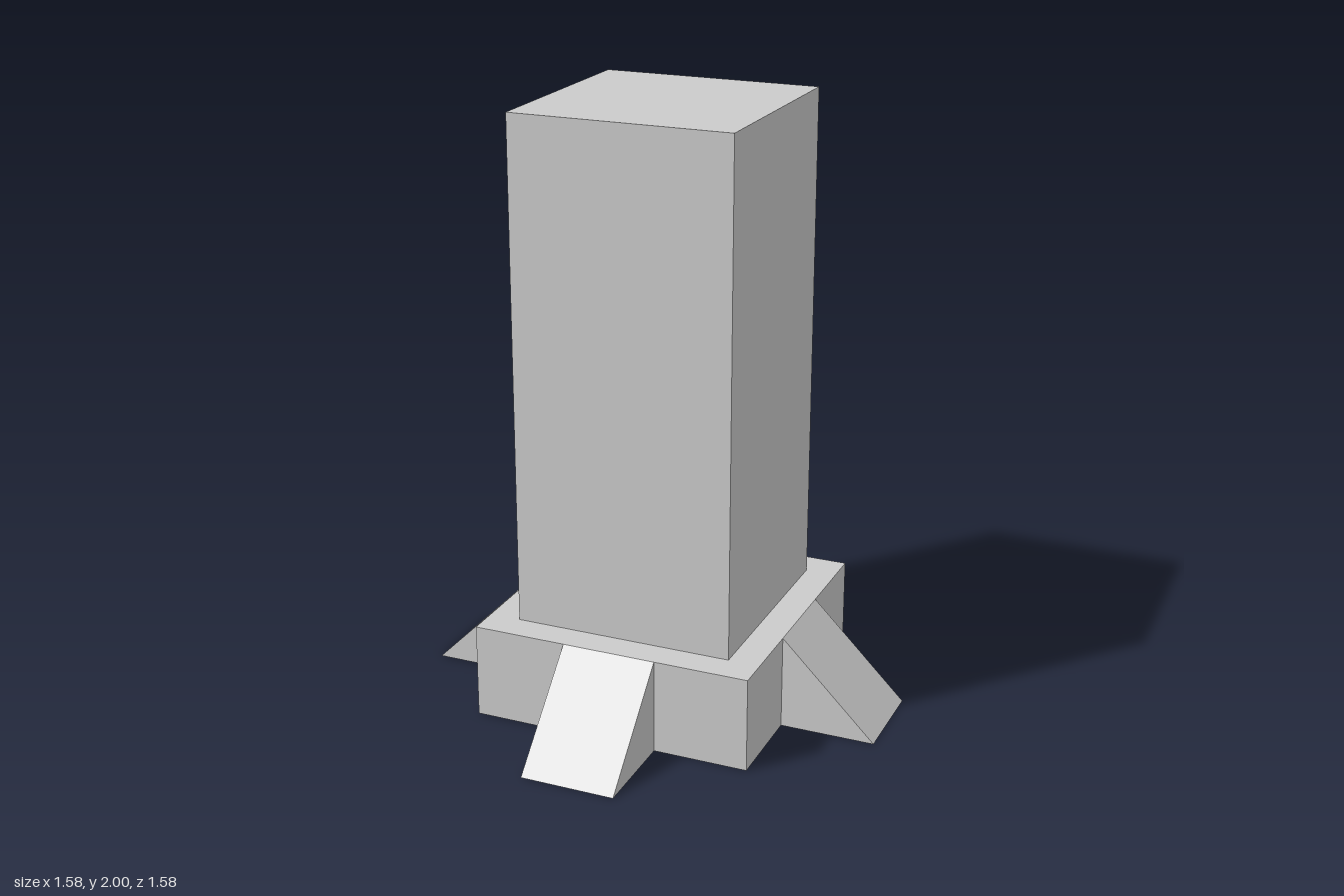
import * as THREE from 'three';

const BASE = 0.947;    // side of the square base
const BASE_H = 0.316;  // height of the base and buttresses
const COLUMN = 0.737;  // side of the column
const REACH = 0.316;   // how far a buttress extends from the base
const WIDTH = 0.316;   // width of a buttress

export function createModel() {
  const group = new THREE.Group();
  const material = new THREE.MeshStandardMaterial({ color: 0xcccccc, flatShading: true });

  const add = (name, geometry) => {
    const mesh = new THREE.Mesh(geometry, material);
    mesh.name = name;
    group.add(mesh);
    return mesh;
  };

  // Square base and the tall column standing on it
  add('base', new THREE.BoxGeometry(BASE, BASE_H, BASE)).position.y = BASE_H / 2;
  const columnHeight = 2 - BASE_H;
  add('column', new THREE.BoxGeometry(COLUMN, columnHeight, COLUMN)).position.y = BASE_H + columnHeight / 2;

  // Sloped buttress, one in the middle of each side of the base
  const profile = new THREE.Shape([
    new THREE.Vector2(BASE / 2, 0),
    new THREE.Vector2(BASE / 2 + REACH, 0),
    new THREE.Vector2(BASE / 2, BASE_H),
  ]);
  const wedge = new THREE.ExtrudeGeometry(profile, { depth: WIDTH, bevelEnabled: false });
  wedge.translate(0, 0, -WIDTH / 2);
  ['left', 'back', 'right', 'front'].forEach((side, i) => {
    add(side + 'Buttress', wedge).rotation.y = i * Math.PI / 2;
  });

  return group;
}
